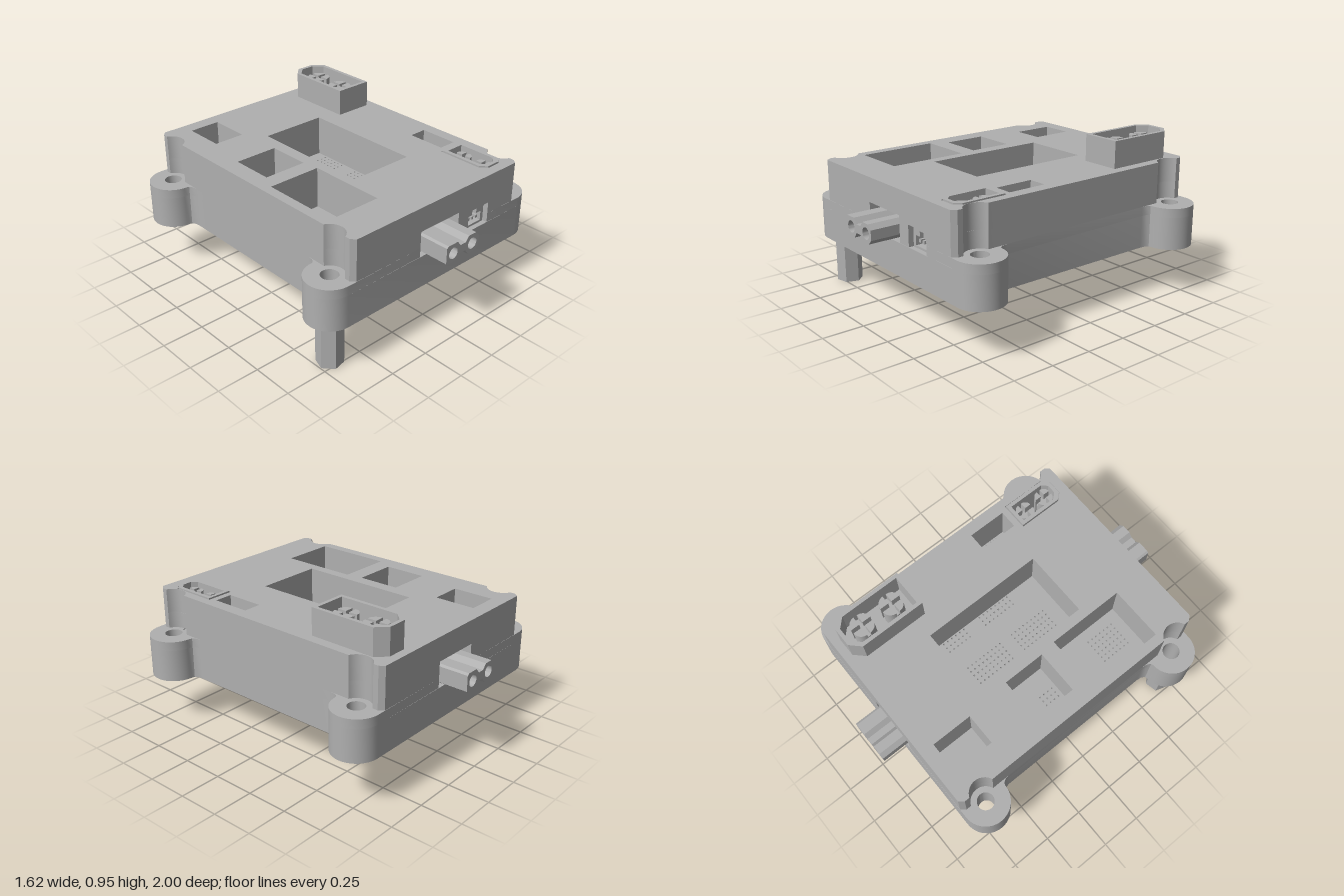
import * as THREE from 'three';
import { toCreasedNormals } from 'three/addons/utils/BufferGeometryUtils.js';

const grey = new THREE.MeshStandardMaterial({ color: 0xb0b0b0 });
grey.name = 'plain grey';

const mesh = (name, geo) => {
  const m = new THREE.Mesh(geo, grey);
  m.name = name;
  return m;
};
const poly = (pts, C = THREE.Shape) => new C(pts.map(p => new THREE.Vector2(p[0], p[1])));
const box = (name, x0, x1, y0, y1, z0, z1) => mesh(name,
  new THREE.BoxGeometry(x1 - x0, y1 - y0, z1 - z0).translate((x0 + x1) / 2, (y0 + y1) / 2, (z0 + z1) / 2));

// Plan coordinates are (x, -z)
const rect = (x0, x1, z0, z1) => [[x0, -z1], [x1, -z1], [x1, -z0], [x0, -z0]];
const circle = (x, y, r, n = 32) => Array.from({ length: n }, (_, i) =>
  [x + r * Math.cos(i / n * 2 * Math.PI), y + r * Math.sin(i / n * 2 * Math.PI)]);
const arc = (x, y, r, a0, a1, n) => Array.from({ length: n + 1 }, (_, i) => {
  const a = (a0 + (a1 - a0) * i / n) * Math.PI / 180;
  return [x + r * Math.cos(a), y + r * Math.sin(a)];
});

// Extrude an outline with holes along z
function extrude(outline, holes, depth) {
  const s = poly(outline);
  s.holes = holes.map(h => poly(h, THREE.Path));
  return toCreasedNormals(new THREE.ExtrudeGeometry(s, { depth, bevelEnabled: false, curveSegments: 1 }), 0.6);
}
// Extrude a plan outline between two heights
const slab = (name, outline, holes, y0, y1) =>
  mesh(name, extrude(outline, holes, y1 - y0).rotateX(-Math.PI / 2).translate(0, y0, 0));

// One corner of each outline, repeated by mirroring
const EAR = [0.67, 0.7];
const earCorner = [[0.638, 0.5], [0.642, 0.535], [0.655, 0.555], ...arc(...EAR, 0.14, -90, 90, 24)];
const scoopCorner = [[0.638, 0.59], ...arc(...EAR, 0.085, 248, 112, 16), [0.638, 0.81], [0.615, 0.838]];

function outline(corner, notched) {
  const map = (sx, sy) => corner.map(([x, y]) => [x * sx, y * sy]);
  const rear = notched ? [[0.15, 0.838], [0.15, 0.74], [-0.15, 0.74], [-0.15, 0.838]] : [];
  const front = notched ? [[-0.15, -0.838], [-0.15, -0.74], [0.15, -0.74], [0.15, -0.838],
    [0.235, -0.838], [0.235, -0.74], [0.4, -0.74], [0.4, -0.838]] : [];
  return [...map(1, 1), ...rear, ...map(-1, 1).reverse(), ...map(-1, -1), ...front, ...map(1, -1).reverse()];
}

// Plan of a keyed power connector; end = 1 chamfers the front end, -1 the rear
function keyed(cx, cz, w, l, cut, end) {
  const a = w / 2, b = l / 2;
  const pts = [[-a, b], [a, b], [a, -b + cut], [a - cut, -b], [-a + cut, -b], [-a, -b + cut]];
  const out = pts.map(([x, y]) => [cx + x, -cz + y * end]);
  return end > 0 ? out.reverse() : out;
}

// Upright connector: hollow shell and two cross-slotted pins
function uprightConnector(name, cx, cz, w, l, cut, end, y0, y1, pinR, spread) {
  const g = new THREE.Group();
  g.name = name;
  g.add(slab('connectorShell', keyed(cx, cz, w, l, cut, end),
    [keyed(cx, cz, w - 0.045, l - 0.045, cut * 0.85, end)], y0, y1));
  for (const side of [-1, 1]) {
    const z = cz + side * spread;
    for (let q = 0; q < 4; q++) {
      const a = q * 90 + 45, o = 0.016, r = a * Math.PI / 180;
      const px = cx + o * Math.cos(r), py = -z + o * Math.sin(r);
      g.add(slab('pinQuarter', [[px, py], ...arc(px, py, pinR - o, a - 45, a + 45, 8)], [], y0, y1 - 0.03));
    }
    g.add(slab('pinCore', circle(cx, -z, pinR * 0.8, 20), [], y0, y1 - 0.09));
  }
  return g;
}

// Horizontal two-barrel plug pointing to the front
function barrelPlug(name) {
  const g = new THREE.Group();
  g.name = name;
  const shape = [[-0.128, 0.512], [-0.115, 0.503], [-0.045, 0.503], [-0.02, 0.535], [0.02, 0.535], [0.045, 0.503],
    [0.1, 0.503], [0.127, 0.53], [0.127, 0.588], [0.1, 0.615], [0.045, 0.615], [0.02, 0.585],
    [-0.02, 0.585], [-0.045, 0.615], [-0.115, 0.615], [-0.128, 0.605]];
  const bores = [-0.075, 0.075].map(x => circle(x, 0.558, 0.034, 24));
  g.add(mesh('plugBase', extrude(shape, [], 0.18).translate(0, 0, 0.72)));
  g.add(mesh('plugBarrels', extrude(shape, bores, 0.1).translate(0, 0, 0.9)));
  return g;
}

export function createModel() {
  const model = new THREE.Group();
  model.name = 'electronicsCase';

  const screwHoles = [];
  for (const sx of [-1, 1]) for (const sz of [-1, 1]) screwHoles.push(circle(sx * EAR[0], sz * EAR[1], 0.05));

  // Windows in the lid and the pocket for the small connector
  const windows = [
    [-0.48, -0.29, -0.75, -0.5], [-0.53, -0.265, -0.225, 0.035], [-0.58, -0.25, 0.135, 0.61],
    [-0.19, 0.22, -0.38, 0.375], [0.455, 0.565, 0.19, 0.425],
  ].map(w => rect(...w));
  windows.push(keyed(0.502, 0.62, 0.17, 0.315, 0.04, 1));

  // Case, stacked in layers so the side pockets stay open
  model.add(slab('caseBase', outline(earCorner, false), [...screwHoles, rect(-0.55, 0.35, -0.48, 0.46)], 0.295, 0.49));
  model.add(slab('caseMiddle', outline(earCorner, true), [...screwHoles, rect(-0.6, 0.6, -0.59, 0.7)], 0.49, 0.545));
  model.add(slab('caseWall', outline(scoopCorner, true), windows, 0.545, 0.645));
  model.add(slab('caseLid', outline(scoopCorner, false), windows, 0.645, 0.79));

  // Circuit board with via holes: x start, columns, z start, rows
  const vias = [];
  for (const [x0, nx, z0, nz] of [[-0.145, 6, -0.29, 9], [-0.145, 6, 0.04, 9], [0.15, 3, -0.31, 6],
    [0.15, 3, -0.04, 8], [-0.52, 5, -0.08, 4], [-0.47, 6, 0.36, 7], [-0.55, 6, 0.155, 1]])
    for (let i = 0; i < nx; i++) for (let j = 0; j < nz; j++)
      vias.push(circle(x0 + i * 0.03, -(z0 + j * 0.03), 0.006, 6));
  model.add(slab('circuitBoard', rect(-0.6, 0.6, -0.59, 0.7), vias, 0.49, 0.54));

  // Upright connectors
  model.add(uprightConnector('largeConnector', 0.462, -0.555, 0.235, 0.465, 0.06, -1, 0.785, 0.95, 0.07, 0.1));
  model.add(uprightConnector('smallConnector', 0.502, 0.62, 0.16, 0.305, 0.035, 1, 0.545, 0.797, 0.055, 0.072));

  // Front and rear plugs
  model.add(barrelPlug('frontPlug'));
  const rear = barrelPlug('rearPlug');
  rear.rotation.y = Math.PI;
  model.add(rear);

  // Three-pin signal socket beside the front plug
  const socket = new THREE.Group();
  socket.name = 'signalSocket';
  const frame = [[0.24, 0.49], [0.395, 0.49], [0.395, 0.612], [0.24, 0.612]];
  const mouth = [[0.262, 0.503], [0.373, 0.503], [0.373, 0.56], [0.335, 0.56], [0.335, 0.59],
    [0.3, 0.59], [0.3, 0.56], [0.262, 0.56]];
  socket.add(mesh('socketFrame', extrude(frame, [mouth], 0.08).translate(0, 0, 0.73)));
  socket.add(box('socketBack', 0.24, 0.395, 0.49, 0.612, 0.72, 0.735));
  for (let i = -1; i <= 1; i++)
    socket.add(box('socketPin', 0.31 + i * 0.033, 0.325 + i * 0.033, 0.522, 0.54, 0.73, 0.8));
  socket.add(box('socketLintel', 0.235, 0.4, 0.615, 0.645, 0.735, 0.838));
  model.add(socket);

  // Slide switch under the narrow window
  model.add(box('switchBody', 0.475, 0.55, 0.535, 0.58, 0.28, 0.39));
  for (let i = -1; i <= 1; i++)
    model.add(box('switchRib', 0.485, 0.54, 0.58, 0.605, 0.328 + i * 0.02, 0.34 + i * 0.02));

  // Hexagonal standoff under the front right ear
  const hex = arc(-EAR[0], -EAR[1], 0.077, 12, 312, 5);
  model.add(slab('standoff', hex, [circle(-EAR[0], -EAR[1], 0.04, 24)], 0, 0.295));

  return model;
}
